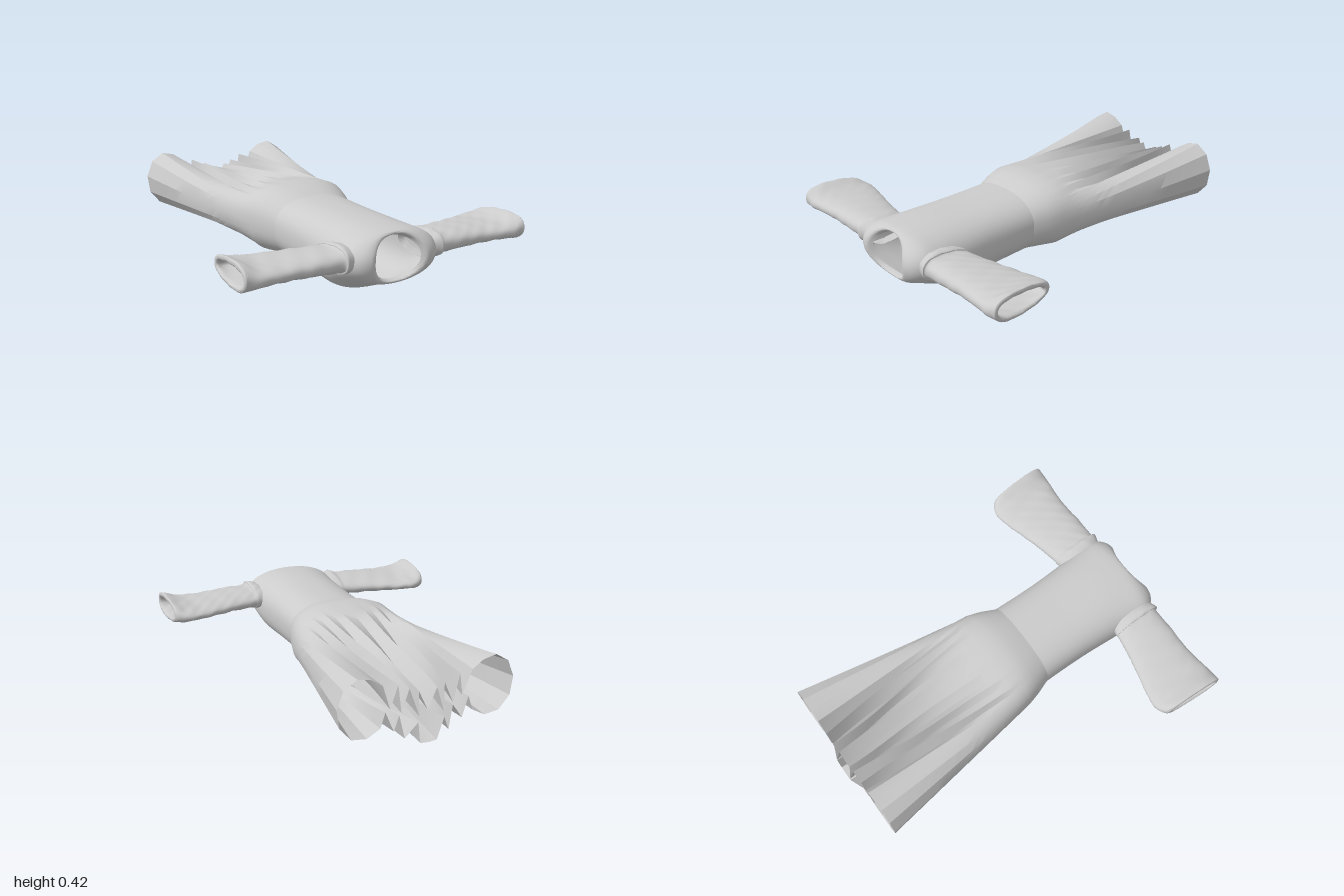
import * as THREE from 'three';
import { toCreasedNormals } from 'three/addons/utils/BufferGeometryUtils.js';

const material = new THREE.MeshStandardMaterial({ color: 0xcccccc, side: THREE.DoubleSide });

// Skin closed rings of [x, y, z] points into one surface
function loft(name, rings, crease) {
  const n = rings[0].length, index = [];
  for (let i = 0; i < rings.length - 1; i++) {
    for (let j = 0; j < n; j++) {
      const k = (j + 1) % n;
      const a = i * n + j, b = i * n + k, c = a + n, d = b + n;
      index.push(a, b, c, b, d, c);
    }
  }
  const g = new THREE.BufferGeometry();
  g.setAttribute('position', new THREE.Float32BufferAttribute(rings.flat(2), 3));
  g.setIndex(index);
  const mesh = new THREE.Mesh(toCreasedNormals(g, crease), material);
  mesh.name = name;
  return mesh;
}

const soft = (v, p) => Math.sign(v) * Math.abs(v) ** p;

// Oval ring across the body; scoop pulls the top and bottom back from the neck sides
function oval(z, w, top, bottom, n, scoop = 0, power = 0.8) {
  return Array.from({ length: n }, (_, j) => {
    const a = (j / n) * Math.PI * 2, c = Math.cos(a);
    return [
      w * soft(Math.sin(a), power),
      (top + bottom) / 2 + ((top - bottom) / 2) * soft(c, power),
      z - scoop * c * c * (c > 0 ? 1.4 : 1),
    ];
  });
}

// Smooth a short table of section values into many sections
function sections(table, count) {
  const out = [];
  for (let i = 0; i <= count; i++) {
    const t = (i / count) * (table.length - 1);
    const k = Math.min(Math.floor(t), table.length - 2), f = t - k;
    const at = (q) => table[Math.max(0, Math.min(table.length - 1, q))];
    out.push(at(k).map((_, m) => {
      const [a, b, c, d] = [at(k - 1)[m], at(k)[m], at(k + 1)[m], at(k + 2)[m]];
      return b + 0.5 * f * (c - a + f * (2 * a - 5 * b + 4 * c - d + f * (3 * (b - c) + d - a)));
    }));
  }
  return out;
}

// Bodice, from the rolled neck edge to the waist: z, half width, top, bottom, scoop, corner power
function bodice() {
  const table = [
    [0.965, 0.135, 0.328, 0.115, 0.05, 0.95],
    [0.988, 0.165, 0.34, 0.108, 0.045, 0.95],
    [0.965, 0.225, 0.352, 0.095, 0.03, 0.95],
    [0.9, 0.268, 0.36, 0.085, 0.01, 0.9],
    [0.8, 0.272, 0.365, 0.045, 0, 0.9],
    [0.69, 0.262, 0.367, 0.01, 0, 0.85],
    [0.5, 0.25, 0.365, 0.02, 0, 0.8],
    [0.35, 0.248, 0.367, 0.03, 0, 0.8],
    [0.2, 0.25, 0.37, 0.04, 0, 0.8],
  ];
  const rings = sections(table, 40).map(([z, w, t, b, s, p]) => oval(z, w, t, b, 64, s, p));
  return loft('bodice', rings, 1.0);
}

// Skirt: a smooth hip that gathers into pleats between two open side lobes
function skirt() {
  const half = [
    [0, 0.2], [0.04, 0.31], [0.07, 0.19], [0.1, 0.33], [0.13, 0.21], [0.17, 0.36],
    [0.2, 0.24], [0.24, 0.37], [0.3, 0.41], [0.37, 0.425], [0.44, 0.38], [0.475, 0.29],
    [0.46, 0.19], [0.4, 0.12], [0.32, 0.11], [0.25, 0.15], [0.215, 0.23], [0.19, 0.12],
    [0.15, 0.2], [0.11, 0.07], [0.075, 0.16], [0.05, 0.045], [0, 0.04],
  ];
  const hem = [...half, ...half.slice(1, -1).reverse().map(([x, y]) => [-x, y])];
  const n = hem.length;
  const rings = [
    oval(0.205, 0.25, 0.37, 0.04, n),
    oval(0.19, 0.255, 0.375, 0.038, n),
    oval(0.12, 0.283, 0.4, 0.032, n),
  ];
  const hip = oval(0.04, 0.305, 0.412, 0.028, n, 0, 0.75);
  const steps = 14;
  for (let i = 0; i <= steps; i++) {
    const u = i / steps, v = u ** 1.25;
    rings.push(hip.map(([x, y, z], j) => {
      const [hx, hy] = hem[j];
      const end = Math.abs(hx) < 0.11 && hy < 0.2 ? -1 : -0.97;
      // Inner folds sway a little along their length
      const sway = Math.abs(hx) < 0.23 ? 0.012 * Math.sin(u * Math.PI * 2 + j * 2.1) * u : 0;
      return [
        x + (hx - x) * u + sway * Math.sign(hx),
        y + (hy - y) * v,
        z + (end - z) * u,
      ];
    }));
  }
  return loft('skirt', rings, 0.45);
}

// Flat sleeve with an armhole seam and a turned-in cuff: x, z range, y range
function sleeve(name, side) {
  const table = [
    [0.2, 0.69, 0.93, 0.17, 0.3],
    [0.262, 0.672, 0.95, 0.16, 0.318],
    [0.285, 0.668, 0.957, 0.16, 0.315],
    [0.3, 0.668, 0.942, 0.172, 0.302],
    [0.42, 0.645, 0.942, 0.178, 0.298],
    [0.55, 0.612, 0.937, 0.18, 0.292],
    [0.66, 0.583, 0.945, 0.182, 0.288],
    [0.74, 0.572, 0.955, 0.178, 0.298],
    [0.79, 0.588, 0.953, 0.168, 0.32],
    [0.815, 0.61, 0.952, 0.17, 0.326],
    [0.81, 0.635, 0.93, 0.195, 0.295],
    [0.74, 0.62, 0.93, 0.2, 0.275],
    [0.55, 0.65, 0.915, 0.2, 0.27],
  ];
  const n = 40;
  const rings = sections(table, 60).map(([x, z0, z1, y0, y1]) =>
    Array.from({ length: n }, (_, j) => {
      const a = (j / n) * Math.PI * 2 * side;
      const s = soft(Math.sin(a), 0.85), c = soft(Math.cos(a), 0.85);
      const taper = 0.86 + 0.14 * s;
      const wrinkle = 0.003 * Math.sin(x * 60 + s * 4) * Math.sin(s * 7 + x * 9);
      return [
        side * (x + (x > 0.7 ? 0.008 * s : 0)),
        (y0 + y1) / 2 + ((y1 - y0) / 2) * c * taper + wrinkle,
        (z0 + z1) / 2 + ((z1 - z0) / 2) * s,
      ];
    }));
  return loft(name, rings, 0.8);
}

export function createModel() {
  const robe = new THREE.Group();
  robe.name = 'robe';
  robe.add(bodice(), skirt(), sleeve('leftSleeve', 1), sleeve('rightSleeve', -1));
  return robe;
}
